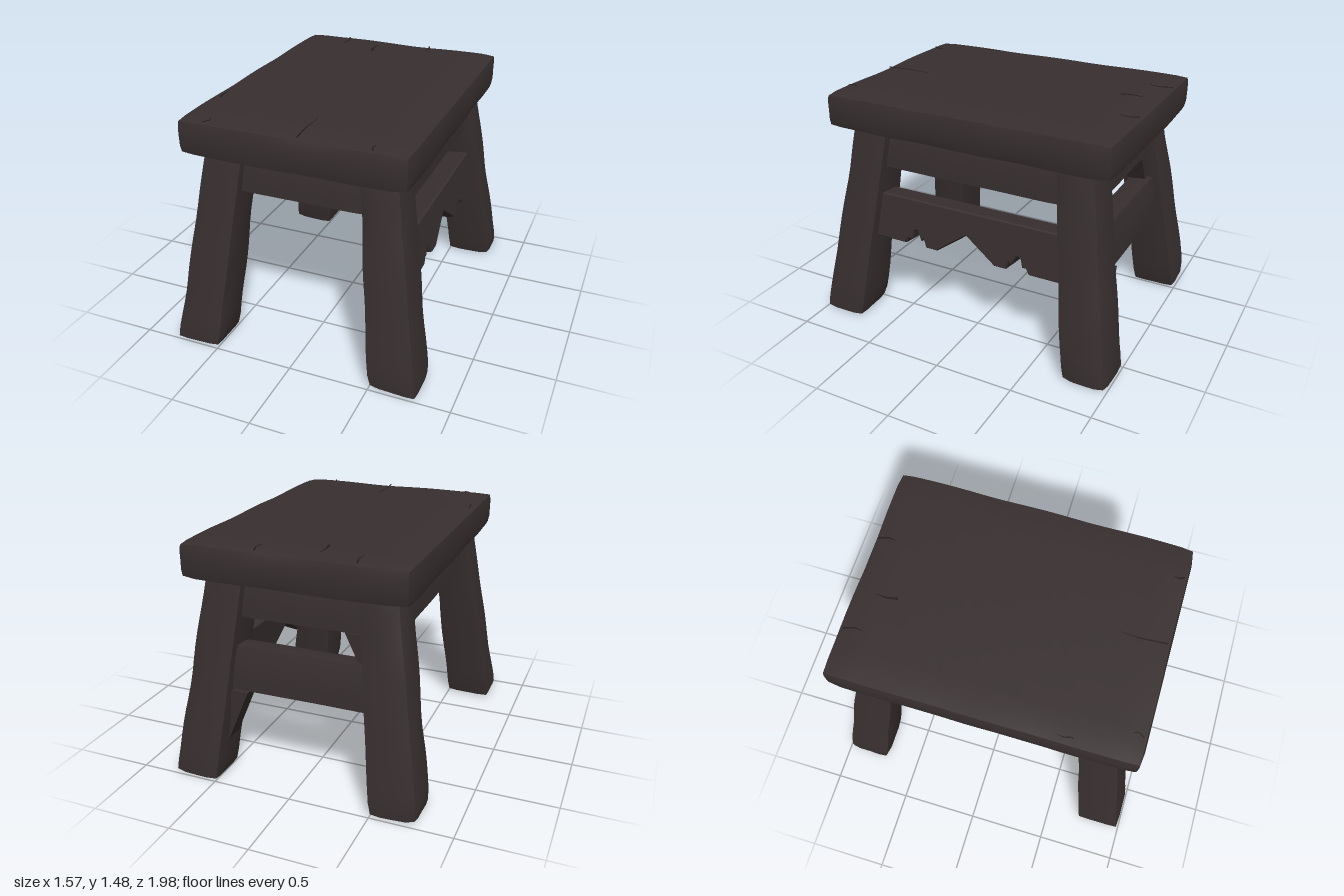
import * as THREE from 'three';
import { mergeVertices, toCreasedNormals } from 'three/addons/utils/BufferGeometryUtils.js';

const wood = new THREE.MeshStandardMaterial({ color: 0x382f30 });
wood.name = 'dark wood';
const crackWood = new THREE.MeshStandardMaterial({ color: 0x231c1d });
crackWood.name = 'crack';

const lerp = THREE.MathUtils.lerp;

// Smooth wobble in the range 0..1
function wobble(a, b, c, seed) {
  const s = Math.sin(a * 9.1 + seed * 2.3) + Math.sin(b * 11.7 + seed * 4.1 + a * 3) + Math.sin(c * 10.3 + seed * 1.7 - b * 4);
  return (s + 3) / 6;
}

// Hand-hewn block: rounded box whose edges are worn unevenly, then warped by a rule
function hewn(w, h, d, segs, radius, wear, seed, warp) {
  let geo = new THREE.BoxGeometry(w, h, d, ...segs);
  geo.deleteAttribute('uv');
  geo.deleteAttribute('normal');
  geo = mergeVertices(geo, 1e-4);
  const pos = geo.attributes.position;
  const half = [w / 2, h / 2, d / 2];
  const p = new THREE.Vector3(), core = new THREE.Vector3(), dir = new THREE.Vector3();
  for (let i = 0; i < pos.count; i++) {
    p.fromBufferAttribute(pos, i);
    const extremes = [p.x, p.y, p.z].filter((v, k) => Math.abs(v) > half[k] - 1e-4).length;
    const n = wobble(p.x, p.y, p.z, seed);
    const r = radius + (extremes > 1 ? wear * n * n : 0);
    const lim = half.map((v) => v - r);
    core.set(
      THREE.MathUtils.clamp(p.x, -lim[0], lim[0]),
      THREE.MathUtils.clamp(p.y, -lim[1], lim[1]),
      THREE.MathUtils.clamp(p.z, -lim[2], lim[2]));
    dir.subVectors(p, core).normalize().multiplyScalar(r);
    p.addVectors(core, dir);
    if (warp) warp(p);
    pos.setXYZ(i, p.x, p.y, p.z);
  }
  return toCreasedNormals(geo, 0.55);
}

function add(group, name, geo, material = wood) {
  const mesh = new THREE.Mesh(geo, material);
  mesh.name = name;
  group.add(mesh);
  return mesh;
}

// Splayed, tapering leg for one corner
function legGeometry(sx, sz, seed) {
  const H = 1.32;
  return hewn(0.3, H, 0.29, [4, 16, 4], 0.022, 0.05, seed, (p) => {
    const y = p.y + H / 2, t = y / 1.26;
    const u = p.x / 0.3 + 0.5, v = p.z / 0.29 + 0.5;
    const x = lerp(lerp(0.49, 0.35, t), lerp(0.795, 0.595, t), sx > 0 ? u : 1 - u);
    const z = lerp(lerp(0.71, 0.555, t), lerp(1.0, 0.8, t), sz > 0 ? v : 1 - v);
    p.set(sx * x, y, sz * z);
  });
}

// Centre line of the legs at a height
const legX = (y) => lerp(0.64, 0.475, y / 1.26);
const legZ = (y) => lerp(0.855, 0.68, y / 1.26);

export function createModel() {
  const stool = new THREE.Group();
  stool.name = 'stool';

  // Seat plank
  const seat = add(stool, 'seat', hewn(1.375, 0.217, 1.855, [14, 4, 20], 0.022, 0.03, 3));
  seat.position.y = 1.368;

  // Legs
  [[1, 1, 'frontLeftLeg'], [-1, 1, 'frontRightLeg'], [1, -1, 'backLeftLeg'], [-1, -1, 'backRightLeg']]
    .forEach(([sx, sz, name], i) => add(stool, name, legGeometry(sx, sz, i * 2 + 1)));

  // Aprons under the seat
  for (const s of [1, -1]) {
    const cross = add(stool, s > 0 ? 'frontApron' : 'backApron', hewn(0.86, 0.27, 0.15, [8, 3, 2], 0.02, 0.01, 5 + s));
    cross.position.set(0, 1.14, s * legZ(1.14));
    cross.rotation.x = -s * 0.13;
    const side = add(stool, s > 0 ? 'leftApron' : 'rightApron', hewn(0.15, 0.27, 1.28, [2, 3, 10], 0.02, 0.01, 8 + s));
    side.position.set(s * legX(1.14), 1.14, 0);
    side.rotation.z = s * 0.13;
  }

  // Plain lower rail at the back
  const backRail = add(stool, 'backRail', hewn(1.04, 0.29, 0.16, [8, 3, 2], 0.025, 0.01, 12));
  backRail.position.set(0, 0.705, -legZ(0.7));
  backRail.rotation.x = 0.13;

  // Carved lower rail on one side
  const half = [[0.7, 0.545], [0.43, 0.545], [0.41, 0.58], [0.385, 0.58], [0.37, 0.635], [0.345, 0.645],
    [0.315, 0.58], [0.3, 0.6], [0.28, 0.545], [0.2, 0.545]];
  const outline = [[-0.7, 0.845], ...half.map(([z, y]) => [-z, y]), [0, 0.69], ...half.slice().reverse(), [0.7, 0.845]];
  const carved = new THREE.ExtrudeGeometry(
    new THREE.Shape(outline.map(([z, y]) => new THREE.Vector2(z, y - 0.7))),
    { depth: 0.13, bevelEnabled: true, bevelThickness: 0.012, bevelSize: 0.008, bevelOffset: -0.008, bevelSegments: 1 });
  carved.translate(0, 0, -0.065);
  carved.rotateY(-Math.PI / 2);
  const carvedRail = add(stool, 'carvedRail', carved);
  carvedRail.position.set(legX(0.7), 0.7, 0);
  carvedRail.rotation.z = 0.13;

  // Rough gussets where the back legs thicken towards the rails
  const gusset = (name, points, z) => {
    const geo = new THREE.ExtrudeGeometry(
      new THREE.Shape(points.map(([x, y]) => new THREE.Vector2(x, y))), { depth: 0.12, bevelEnabled: false });
    geo.translate(0, 0, z - 0.06);
    add(stool, name, geo);
  };
  gusset('lowerGusset', [[0.32, 0.57], [0.465, 0.23], [0.52, 0.23], [0.48, 0.57]], -0.8);
  gusset('upperGusset', [[-0.27, 1.02], [-0.44, 1.02], [-0.44, 0.84], [-0.355, 0.84]], -0.72);

  // Fine cracks running along the grain: x, end z, inner z, width
  [[0.05, 0.9, 0.6, 0.008], [-0.39, -0.9, -0.76, 0.01], [-0.13, -0.66, -0.8, 0.014], [0.21, -0.9, -0.78, 0.01],
    [-0.63, 0.53, 0.43, 0.008], [-0.52, 0.9, 0.83, 0.01], [0.48, 0.9, 0.84, 0.01]].forEach(([x, z0, z1, w], i) => {
    const bend = i % 2 ? 0.02 : -0.012;
    const shape = new THREE.Shape([[x - w / 2, -z0], [x + w / 2, -z0], [x + bend + w / 3, -(z0 + z1) / 2],
      [x + bend / 2, -z1], [x + bend - w / 3, -(z0 + z1) / 2]].map(([a, b]) => new THREE.Vector2(a, b)));
    const geo = new THREE.ExtrudeGeometry(shape, { depth: 0.003, bevelEnabled: false });
    geo.rotateX(-Math.PI / 2);
    geo.translate(0, 1.4755, 0);
    add(stool, 'seatCrack', geo, crackWood);
  });

  return stool;
}
